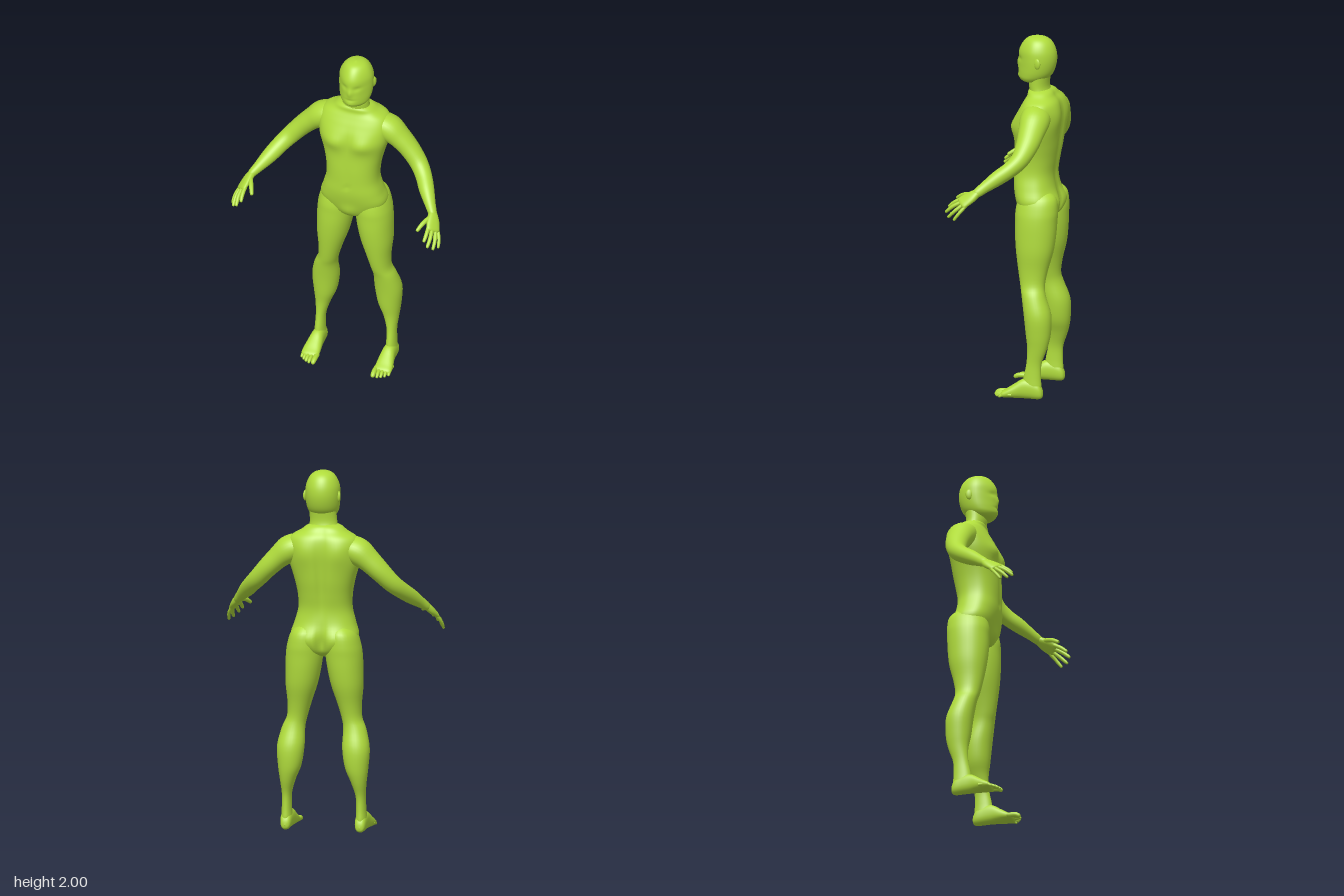
import * as THREE from 'three';

const V = (x, y, z) => new THREE.Vector3(x, y, z);
const skin = new THREE.MeshStandardMaterial({ color: 0xb0dc3c });
skin.name = 'lime skin';

// Smooth closed tube through rows [x, y, z, radiusA, radiusB].
// radiusA lies along ref, radiusB across it; axis fixes the ring direction.
function loft(rows, { ref = V(0, 0, 1), axis = null, power = 2, sides = 32, steps = 4, shape = null } = {}) {
  const path = new THREE.CatmullRomCurve3(rows.map(r => V(r[0], r[1], r[2])), false, 'catmullrom', 0.5);
  const radii = new THREE.CatmullRomCurve3(rows.map(r => V(r[3], r[4], 0)), false, 'catmullrom', 0.5);
  const rings = (rows.length - 1) * steps;
  const pos = [], idx = [];
  const pw = c => Math.sign(c) * Math.pow(Math.abs(c), 2 / power);
  for (let i = 0; i <= rings; i++) {
    const c = path.getPoint(i / rings), r = radii.getPoint(i / rings);
    const t = axis || path.getTangent(i / rings);
    const u = ref.clone().addScaledVector(t, -ref.dot(t)).normalize();
    const v = t.clone().cross(u);
    for (let j = 0; j < sides; j++) {
      const a = j / sides * Math.PI * 2;
      const p = c.clone()
        .addScaledVector(u, pw(Math.cos(a)) * Math.max(r.x, 0.0005))
        .addScaledVector(v, pw(Math.sin(a)) * Math.max(r.y, 0.0005));
      if (shape) shape(p, c);
      pos.push(p.x, p.y, p.z);
      if (i < rings) {
        const k = (j + 1) % sides, b = i * sides;
        idx.push(b + j, b + k, b + sides + k, b + j, b + sides + k, b + sides + j);
      }
    }
  }
  const g = new THREE.BufferGeometry();
  g.setAttribute('position', new THREE.Float32BufferAttribute(pos, 3));
  g.setIndex(idx);
  g.computeVertexNormals();
  return g;
}

// Upright body: rows [centreX, y, halfWidth, frontZ, backZ], from bottom to top
const upright = (rows, opts = {}) => loft(
  rows.map(([x, y, w, f, b]) => [x, y, (f + b) / 2, (f - b) / 2, w]),
  { axis: V(0, 1, 0), ...opts });

// Soft muscle bumps [x, y, sizeX, sizeY, push, facing], mirrored over the centre
const bumps = (list, cx = 0) => (p, c) => {
  const q = p.z - c.z;
  const x = Math.abs(p.x - cx), y = p.y;
  let dz = 0;
  for (const [bx, by, sx, sy, push, facing] of list) {
    const weight = THREE.MathUtils.smoothstep(q * facing, 0, 0.06);
    dz += facing * push * weight * Math.exp(-(((x - bx) / sx) ** 2) - ((y - by) / sy) ** 2);
  }
  p.z += dz;
};

function mirrored(geometry) {
  const g = geometry.clone().scale(-1, 1, 1);
  const a = g.index.array;
  for (let i = 0; i < a.length; i += 3) [a[i], a[i + 1]] = [a[i + 1], a[i]];
  g.computeVertexNormals();
  return g;
}

// Tapered finger or toe with a rounded tip
function digit(base, mid, tip, r) {
  const end = tip.clone().sub(mid).normalize();
  const near = tip.clone().addScaledVector(end, -r * 0.5);
  return loft([
    [...base, r, r], [...mid, r, r], [...near, r * 0.75, r * 0.75], [...tip, 0, 0],
  ], { ref: V(0.6, 0.35, -0.2), sides: 12 });
}

export function createModel() {
  const model = new THREE.Group();
  model.name = 'humanFigure';
  const add = (name, g) => {
    const m = new THREE.Mesh(g, skin);
    m.name = name;
    model.add(m);
  };
  const pair = (name, g) => {
    add('left' + name, g);
    add('right' + name, mirrored(g));
  };

  // Torso with chest, spine groove, shoulder blades and buttocks
  add('torso', upright([
    [0, 0.965, 0, -0.1, -0.12], [0, 0.975, 0.05, -0.05, -0.17], [0, 1.01, 0.14, -0.022, -0.22],
    [0, 1.08, 0.187, 0.002, -0.232], [0, 1.157, 0.168, 0.018, -0.215], [0, 1.235, 0.148, 0.02, -0.208],
    [0, 1.315, 0.15, 0.02, -0.22], [0, 1.4, 0.167, 0.016, -0.235], [0, 1.49, 0.193, 0.015, -0.244],
    [0, 1.55, 0.2, 0.005, -0.247], [0, 1.6, 0.2, -0.018, -0.243], [0, 1.64, 0.18, -0.04, -0.232],
    [0, 1.67, 0.13, -0.055, -0.21], [0, 1.7, 0.085, -0.062, -0.185], [0, 1.72, 0, -0.11, -0.12],
  ], {
    power: 2.4, sides: 64, steps: 5, shape: bumps([
      [0.085, 1.5, 0.065, 0.045, 0.018, 1], [0, 1.5, 0.02, 0.07, -0.008, 1],
      [0, 1.3, 0.012, 0.12, -0.005, 1], [0, 1.21, 0.012, 0.012, -0.006, 1],
      [0, 1.03, 0.04, 0.04, 0.012, 1], [0, 1.42, 0.025, 0.22, -0.02, -1],
      [0.1, 1.56, 0.06, 0.08, 0.012, -1], [0.085, 1.07, 0.06, 0.06, 0.018, -1],
      [0, 1.05, 0.018, 0.07, -0.035, -1],
    ]),
  }));

  add('neck', upright([
    [0, 1.58, 0.1, -0.06, -0.2], [0.002, 1.64, 0.1, -0.06, -0.195], [0.005, 1.69, 0.081, -0.062, -0.178],
    [0.008, 1.73, 0.075, -0.058, -0.17], [0.012, 1.8, 0.075, -0.06, -0.178],
  ]));

  // Head with a narrowed face, shallow eye sockets, nose and mouth
  const face = bumps([
    [0.036, 1.872, 0.02, 0.014, -0.007, 1], [0, 1.842, 0.013, 0.026, 0.01, 1],
    [0, 1.797, 0.03, 0.006, -0.004, 1], [0, 1.77, 0.025, 0.016, 0.004, 1],
  ], 0.012);
  add('head', upright([
    [0.012, 1.735, 0, -0.07, -0.09], [0.012, 1.743, 0.055, -0.025, -0.135], [0.012, 1.762, 0.077, -0.003, -0.165],
    [0.012, 1.79, 0.088, 0.002, -0.19], [0.012, 1.83, 0.094, 0.001, -0.206], [0.012, 1.875, 0.096, 0, -0.213],
    [0.012, 1.92, 0.092, -0.004, -0.208], [0.012, 1.962, 0.074, -0.026, -0.189],
    [0.012, 1.988, 0.046, -0.055, -0.158], [0.012, 2, 0, -0.1, -0.11],
  ], {
    sides: 48, steps: 6, shape: (p, c) => {
      p.x = 0.012 + (p.x - 0.012) * (1 - 0.18 * THREE.MathUtils.smoothstep(p.z - c.z, 0, 0.1));
      face(p, c);
    },
  }));

  // Ears
  for (const s of [1, -1]) {
    const ear = new THREE.SphereGeometry(1, 16, 12);
    ear.scale(0.01, 0.03, 0.02).rotateY(-s * 0.3).translate(0.012 + s * 0.093, 1.86, -0.13);
    add(s > 0 ? 'leftEar' : 'rightEar', ear);
  }

  // Legs, from ankle to hip
  pair('Leg', upright([
    [0.207, 0.02, 0.02, -0.1, -0.17], [0.207, 0.06, 0.03, -0.08, -0.185], [0.207, 0.12, 0.027, -0.085, -0.182],
    [0.205, 0.2, 0.027, -0.1, -0.185], [0.197, 0.283, 0.043, -0.103, -0.213], [0.186, 0.363, 0.064, -0.092, -0.23],
    [0.181, 0.47, 0.075, -0.08, -0.23], [0.17, 0.57, 0.063, -0.064, -0.197], [0.152, 0.63, 0.056, -0.05, -0.187],
    [0.139, 0.71, 0.066, -0.035, -0.2], [0.127, 0.81, 0.087, -0.02, -0.226], [0.117, 0.9, 0.097, -0.012, -0.238],
    [0.11, 0.98, 0.101, -0.011, -0.243], [0.106, 1.04, 0.096, -0.012, -0.246],
    [0.1, 1.11, 0.078, -0.03, -0.235], [0.095, 1.16, 0.03, -0.08, -0.18],
  ], { power: 2.1 }));

  // Feet and toes
  pair('Foot', loft([
    [0.207, 0.03, -0.194, 0, 0], [0.207, 0.035, -0.188, 0.02, 0.025], [0.207, 0.047, -0.168, 0.03, 0.045],
    [0.207, 0.056, -0.125, 0.034, 0.054], [0.207, 0.056, -0.08, 0.038, 0.054], [0.209, 0.042, -0.035, 0.045, 0.04],
    [0.211, 0.029, 0.005, 0.049, 0.026], [0.209, 0.021, 0.033, 0.045, 0.017], [0.207, 0.018, 0.045, 0, 0],
  ], { ref: V(1, 0, 0), axis: V(0, 0, 1), power: 2.3 }));
  [[0.172, 0.087, 0.014], [0.196, 0.084, 0.01], [0.215, 0.076, 0.01], [0.233, 0.063, 0.009], [0.25, 0.046, 0.009]]
    .forEach(([x, z, r], i) => pair('Toe' + (i + 1),
      digit(V(x, 0.026, z - 0.075), V(x, 0.024, z - 0.03), V(x + 0.002, 0.01, z), r)));

  // Arms, from shoulder to wrist
  pair('Arm', loft([
    [0.09, 1.595, -0.14, 0.04, 0.03], [0.14, 1.585, -0.14, 0.076, 0.062], [0.195, 1.557, -0.142, 0.082, 0.074],
    [0.25, 1.513, -0.141, 0.072, 0.062], [0.31, 1.454, -0.135, 0.062, 0.055], [0.37, 1.388, -0.113, 0.05, 0.05],
    [0.415, 1.341, -0.07, 0.044, 0.046], [0.455, 1.297, -0.01, 0.041, 0.042], [0.497, 1.252, 0.05, 0.031, 0.03],
    [0.526, 1.222, 0.088, 0.025, 0.022], [0.535, 1.212, 0.1, 0.01, 0.01],
  ], { ref: V(0, 0.35, 1) }));

  // Hands: palm, four fingers and thumb
  pair('Palm', loft([
    [0.515, 1.233, 0.072, 0.018, 0.016], [0.526, 1.221, 0.09, 0.026, 0.02], [0.537, 1.203, 0.115, 0.036, 0.02],
    [0.548, 1.183, 0.145, 0.041, 0.017], [0.556, 1.168, 0.167, 0.038, 0.013], [0.559, 1.162, 0.175, 0, 0],
  ], { ref: V(0.6, -0.4, -0.55), power: 2.3 }));
  [
    ['IndexFinger', [0.53, 1.196, 0.155], [0.533, 1.168, 0.208], [0.53, 1.138, 0.246], 0.011],
    ['MiddleFinger', [0.546, 1.183, 0.15], [0.556, 1.15, 0.21], [0.553, 1.112, 0.256], 0.011],
    ['RingFinger', [0.56, 1.171, 0.143], [0.577, 1.131, 0.193], [0.579, 1.09, 0.235], 0.0105],
    ['LittleFinger', [0.571, 1.16, 0.135], [0.591, 1.12, 0.168], [0.597, 1.08, 0.198], 0.0095],
    ['Thumb', [0.524, 1.218, 0.11], [0.499, 1.204, 0.166], [0.478, 1.177, 0.214], 0.0125],
  ].forEach(([name, a, b, c, r]) => pair(name, digit(V(...a), V(...b), V(...c), r)));

  return model;
}
